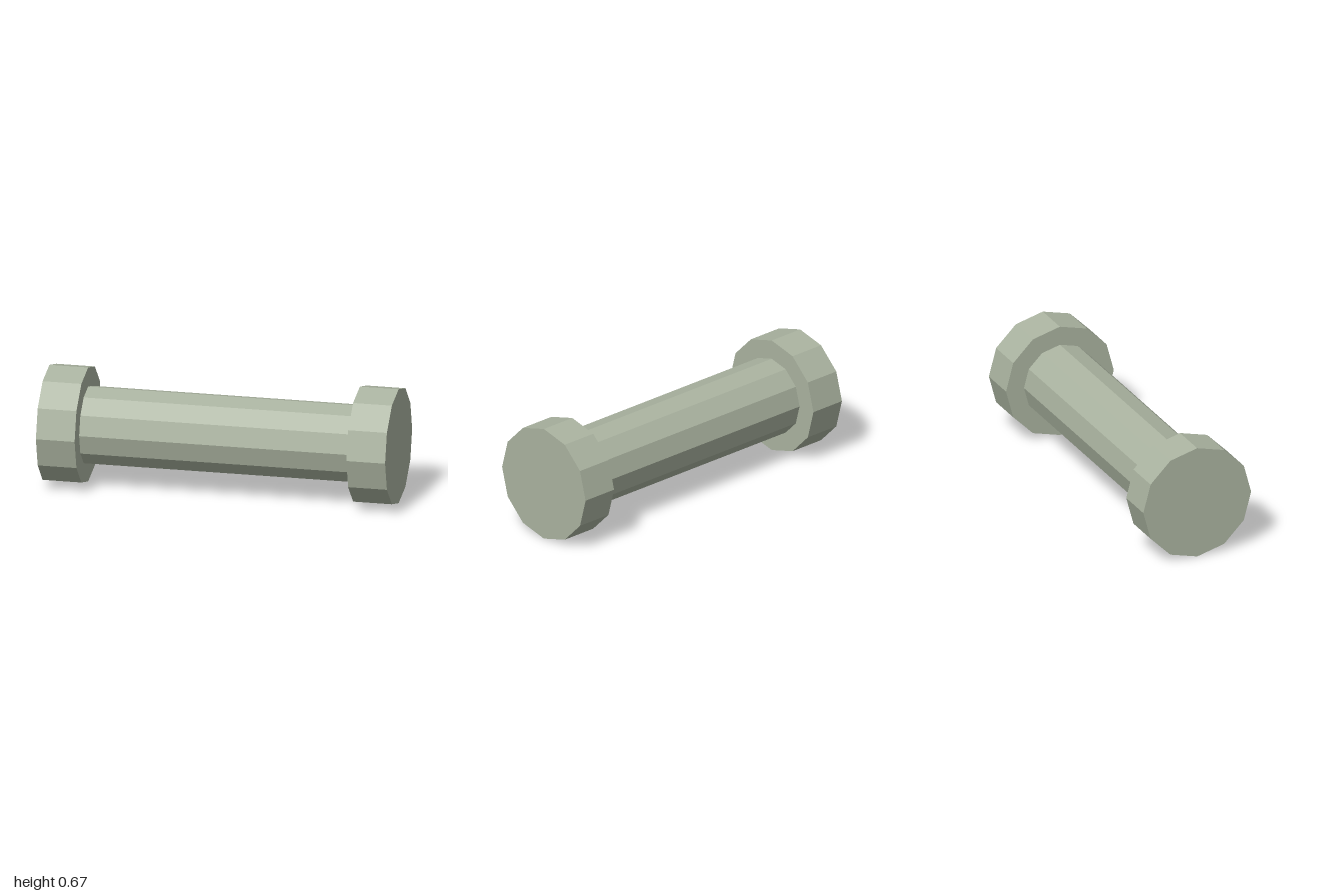
import * as THREE from 'three';

const SIDES = 12;
const HEAD_RADIUS = 0.333;
const SHAFT_RADIUS = 0.222;
const HEAD_LENGTH = 0.222;

export function createModel() {
  const group = new THREE.Group();
  group.name = 'spool';

  const paint = new THREE.MeshStandardMaterial({ color: 0xaab3a0, flatShading: true });
  paint.name = 'sageGrey';

  // A twelve-sided bar lying along x
  function addBar(name, radius, length, x, open) {
    const geometry = new THREE.CylinderGeometry(radius, radius, length, SIDES, 1, open);
    geometry.rotateZ(Math.PI / 2);
    const mesh = new THREE.Mesh(geometry, paint);
    mesh.name = name;
    mesh.position.set(x, HEAD_RADIUS, 0);
    group.add(mesh);
  }

  // Slim shaft between the heads; its ends are hidden, so it has no caps
  addBar('shaft', SHAFT_RADIUS, 2 - 2 * HEAD_LENGTH, 0, true);

  // Wide heads at both ends
  for (const [name, side] of [['leftHead', 1], ['rightHead', -1]]) {
    addBar(name, HEAD_RADIUS, HEAD_LENGTH, side * (1 - HEAD_LENGTH / 2), false);
  }

  return group;
}
